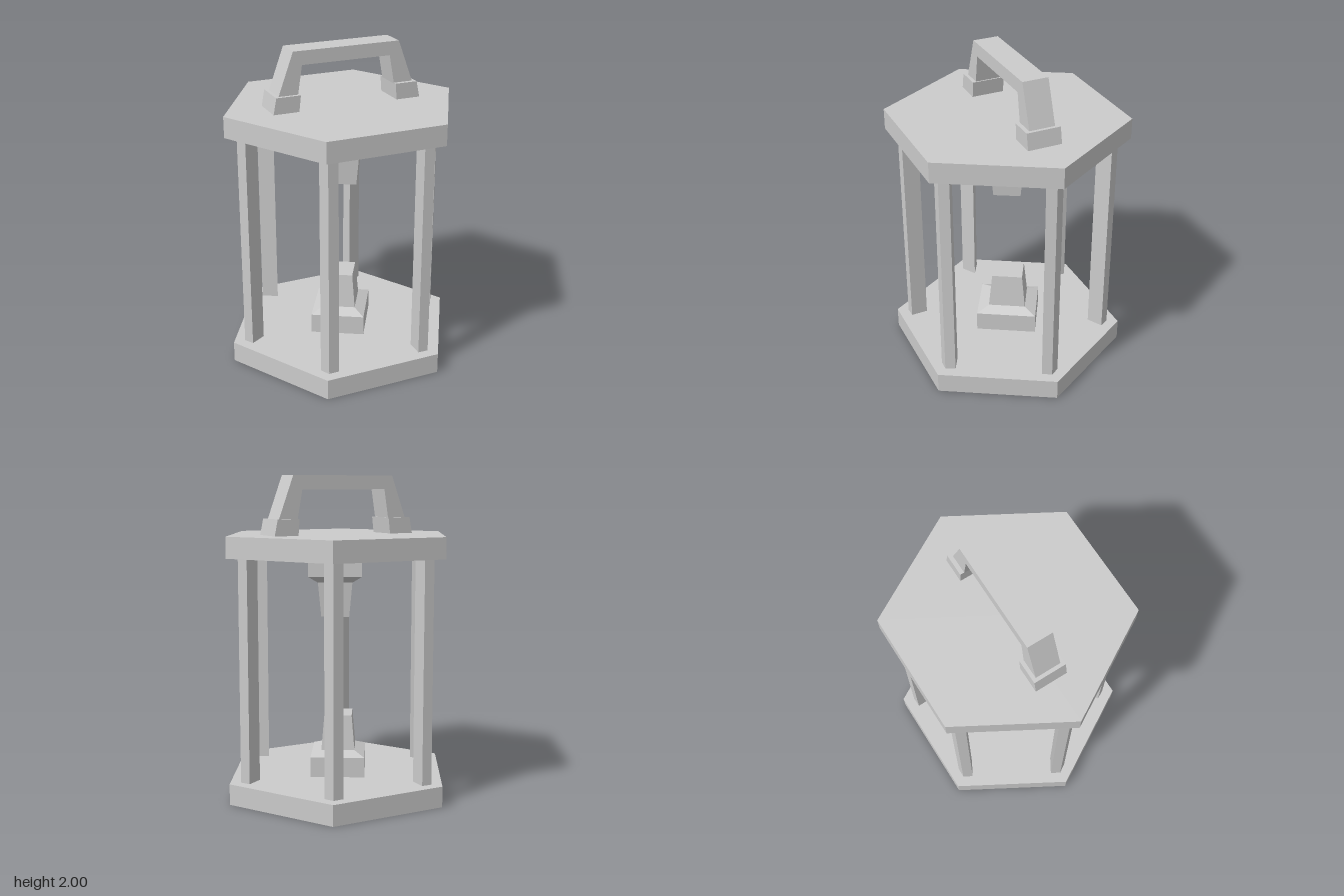
import * as THREE from 'three';

const material = new THREE.MeshStandardMaterial({ color: 0xcccccc, flatShading: true, roughness: 0.8 });

// Closed loft: an [x, z] outline (counter-clockwise from above) stacked as [y, scale] rings, bottom to top
function loft(outline, rings) {
  const n = outline.length;
  const positions = rings.flatMap(([y, s]) => outline.flatMap(([x, z]) => [x * s, y, z * s]));
  const index = [];
  for (let r = 0; r < rings.length - 1; r++) {
    for (let i = 0; i < n; i++) {
      const a = r * n + i, b = r * n + (i + 1) % n;
      index.push(a, b, b + n, a, b + n, a + n);
    }
  }
  const top = (rings.length - 1) * n;
  for (let i = 1; i < n - 1; i++) {
    index.push(top, top + i, top + i + 1, 0, i + 1, i);
  }
  const geometry = new THREE.BufferGeometry();
  geometry.setAttribute('position', new THREE.Float32BufferAttribute(positions, 3));
  geometry.setIndex(index);
  const flat = geometry.toNonIndexed();
  flat.computeVertexNormals();
  return flat;
}

// Front outline in x, y extruded between two z values
function slab(points, z0, z1) {
  const shape = new THREE.Shape(points.map(([x, y]) => new THREE.Vector2(x, y)));
  return new THREE.ExtrudeGeometry(shape, { depth: z1 - z0, bevelEnabled: false }).translate(0, 0, z0);
}

// Four corners from two neighbouring ones, mirrored through the centre
const fourSided = (a, b) => [a, b, [-a[0], -a[1]], [-b[0], -b[1]]];

export function createModel() {
  const model = new THREE.Group();
  model.name = 'lantern';
  const add = (name, geometry, parent = model) => {
    const mesh = new THREE.Mesh(geometry, material);
    mesh.name = name;
    parent.add(mesh);
    return mesh;
  };

  // Hexagonal plates, corners on the x axis
  for (const [name, y] of [['basePlate', 0.065], ['topPlate', 1.575]]) {
    add(name, new THREE.CylinderGeometry(0.75, 0.75, 0.13, 6).rotateY(Math.PI / 6).translate(0, y, 0));
  }

  // Kite-section posts, one inside each corner
  const posts = new THREE.Group();
  posts.name = 'posts';
  model.add(posts);
  const kite = [[0.674, 0], [0.64, -0.055], [0.548, 0], [0.64, 0.055]];
  const postGeometry = loft(kite, [[0.125, 1], [1.515, 1]]);
  for (let i = 0; i < 6; i++) {
    add('post', postGeometry, posts).rotation.y = i * Math.PI / 3;
  }

  // Stepped, tapering sockets facing each other
  add('lowerSocket', loft(fourSided([0.05, 0.25], [0.243, -0.082]),
    [[0.125, 1], [0.255, 1], [0.285, 0.62], [0.505, 0.51]])).position.z = -0.01;
  add('upperSocket', loft(fourSided([0.066, 0.218], [0.222, -0.06]),
    [[1.13, 0.53], [1.345, 0.65], [1.385, 1], [1.515, 1]])).position.x = 0.016;

  // Carrying handle with a foot at each end
  const handle = new THREE.Group();
  handle.name = 'handle';
  model.add(handle);
  add('handleBar', slab([
    [-0.437, 1.72], [-0.31, 1.72], [-0.28, 1.915], [0.29, 1.915],
    [0.325, 1.72], [0.452, 1.72], [0.35, 2], [-0.335, 2],
  ], -0.094, 0.068), handle);
  add('rightHandleFoot', slab([[-0.472, 1.635], [-0.31, 1.635], [-0.298, 1.74], [-0.452, 1.74]], -0.117, 0.09), handle);
  add('leftHandleFoot', slab([[0.33, 1.635], [0.487, 1.635], [0.465, 1.74], [0.322, 1.74]], -0.12, 0.094), handle);

  return model;
}
